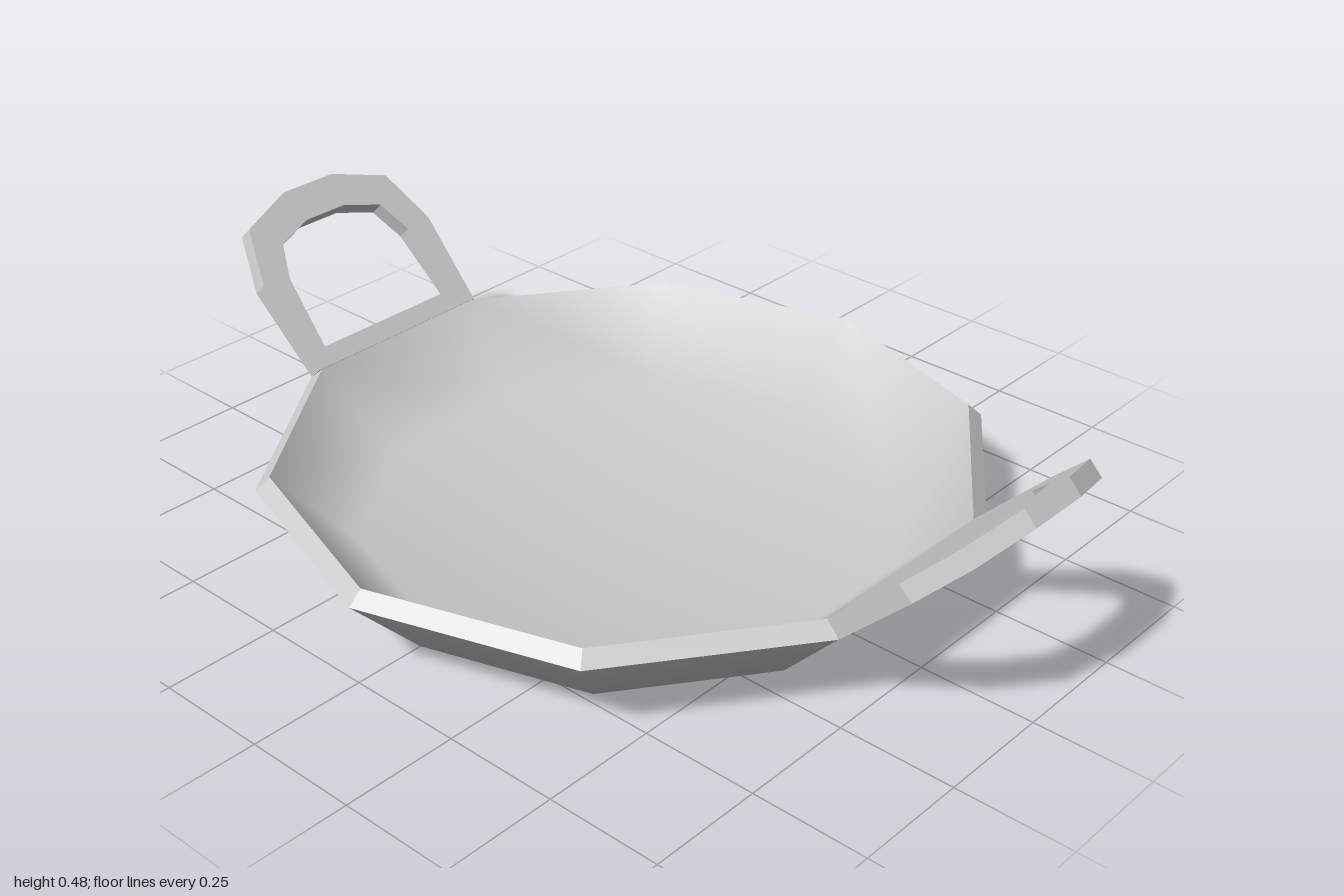
import * as THREE from 'three';

const steel = new THREE.MeshStandardMaterial({ color: 0xcccccc });
steel.name = 'greySteel';

const SIDES = 10;

// Ten-sided ring swept from a profile, with corners on the x axis
function ring(name, profile, flat = false) {
  const points = profile.map(([r, y]) => new THREE.Vector2(r, y));
  let geometry = new THREE.LatheGeometry(points, SIDES, Math.PI / 2);
  if (flat) {
    geometry = geometry.toNonIndexed();
    geometry.computeVertexNormals();
  }
  const mesh = new THREE.Mesh(geometry, steel);
  mesh.name = name;
  return mesh;
}

// Mirrors half an outline to the other side; heights are stretched for the 45 degree tilt
function arch(half) {
  const right = half.map(([x, v]) => new THREE.Vector2(x, v * Math.SQRT2));
  const left = right.map((p) => new THREE.Vector2(-p.x, p.y)).reverse();
  return [...right, ...left];
}

// Loop handle leaning outward from one flat side of the rim
function handle(name) {
  const shape = new THREE.Shape(arch([[0.232, 0], [0.243, 0.155], [0.2, 0.246], [0.07, 0.281]]));
  shape.holes.push(new THREE.Path(arch([[0.188, 0.03], [0.175, 0.15], [0.143, 0.204], [0.055, 0.226]])));
  const geometry = new THREE.ExtrudeGeometry(shape, { depth: 0.04, bevelEnabled: false });
  const mesh = new THREE.Mesh(geometry, steel);
  mesh.rotation.x = Math.PI / 4;
  mesh.position.set(0, 0.203, 0.695);
  mesh.name = name + 'Loop';
  const group = new THREE.Group();
  group.name = name;
  group.add(mesh);
  return group;
}

export function createModel() {
  const model = new THREE.Group();
  model.name = 'pan';

  // Shallow pan body
  model.add(
    ring('panOutside', [[0, 0], [0.593, 0], [0.76, 0.175]]),
    ring('panRim', [[0.76, 0.175], [0.73, 0.203]], true),
    ring('panInside', [[0.73, 0.203], [0.565, 0.035], [0, 0.035]])
  );

  // Front and back handles
  const front = handle('frontHandle');
  const back = handle('backHandle');
  back.rotation.y = Math.PI;
  model.add(front, back);

  return model;
}
